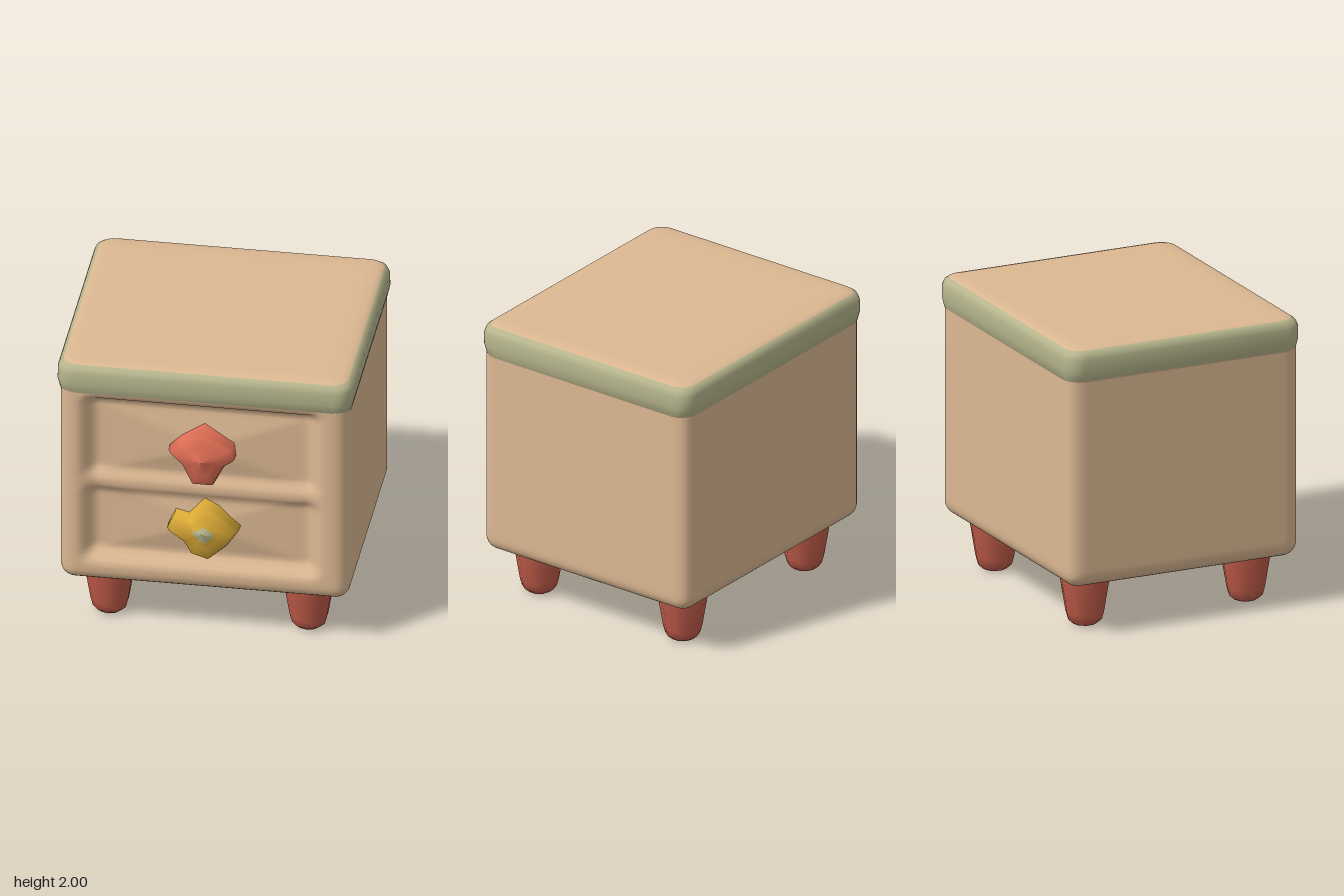
import * as THREE from 'three';
import { mergeVertices } from 'three/addons/utils/BufferGeometryUtils.js';

const mat = (name, color) => new THREE.MeshStandardMaterial({ name, color });
const { smoothstep, clamp } = THREE.MathUtils;

// Joins equal-length rings of [x, y, z], anticlockwise seen from the last ring.
// matOf(i) gives the material index of the band above ring i.
function loft(rings, matOf = () => 0) {
  const n = rings[0].length, index = [];
  const geo = new THREE.BufferGeometry();
  geo.setAttribute('position', new THREE.Float32BufferAttribute(rings.flat(2), 3));
  for (let i = 0; i < rings.length - 1; i++) {
    geo.addGroup(index.length, n * 6, matOf(i));
    for (let j = 0; j < n; j++) {
      const a = i * n + j, b = i * n + (j + 1) % n;
      index.push(a, b, b + n, a, b + n, a + n);
    }
  }
  geo.setIndex(index);
  geo.computeVertexNormals();
  return geo;
}

// Depth of the drawer recess at a point of the front face
function recessDepth(x, y) {
  const side = smoothstep(x, -0.84, -0.72) * (1 - smoothstep(x, 0.67, 0.81));
  const ends = smoothstep(y, 0.48, 0.59) * (1 - smoothstep(y, 1.69, 1.78));
  const rail = 1 - smoothstep(Math.abs(y - 1.1), 0.02, 0.1);
  // each drawer front swells towards its knob like a low pyramid
  const cy = y > 1.1 ? 1.42 : 0.83;
  const swell = Math.max(0, 1 - Math.max(Math.abs(x) / 0.7, Math.abs(y - cy) / 0.26));
  return side * ends * (0.085 - 0.045 * rail - 0.05 * swell);
}

// Rounded cabinet with the recess pressed into its front
function cabinetGeometry() {
  const half = new THREE.Vector3(0.967, 0.79, 0.85), r = 0.1;
  const centre = new THREE.Vector3(0, 1.13, -0.05);
  let geo = new THREE.BoxGeometry(half.x * 2, half.y * 2, half.z * 2, 64, 56, 40);
  geo.deleteAttribute('normal');
  geo.deleteAttribute('uv');
  geo = mergeVertices(geo);
  const pos = geo.attributes.position;
  const p = new THREE.Vector3(), inner = new THREE.Vector3();
  for (let i = 0; i < pos.count; i++) {
    p.fromBufferAttribute(pos, i);
    inner.set(...['x', 'y', 'z'].map(k => clamp(p[k], r - half[k], half[k] - r)));
    p.sub(inner).setLength(r).add(inner).add(centre);
    if (p.z > 0.78) p.z -= recessDepth(p.x, p.y);
    pos.setXYZ(i, p.x, p.y, p.z);
  }
  geo.computeVertexNormals();
  return geo;
}

// Rounded rectangle ring of the table top, drawn in from the full outline
function topRing([height, inset]) {
  const hw = 0.99 - inset, hd = 0.867 - inset;
  const r = Math.min(Math.max(0.12 - inset * 0.5, 0.03), hd), ring = [];
  for (let c = 0; c < 4; c++) {
    const sx = c === 0 || c === 3 ? 1 : -1, sy = c < 2 ? 1 : -1;
    for (let k = 0; k <= 5; k++) {
      const a = (c + k / 5) * Math.PI / 2;
      ring.push([sx * (hw - r) + r * Math.cos(a), 0.053 + sy * (hd - r) + r * Math.sin(a), height]);
    }
  }
  return ring;
}

// Faceted knob: an outline that narrows to a point in front
function knobGeometry(outline, cx, cy, matOf) {
  const steps = [[0.7, 1], [0.82, 1], [0.86, 0.92], [0.88, 0.55], [0.9, 0.3], [0.92, 0]];
  return loft(steps.map(([z, s]) =>
    outline.map(([x, y]) => [cx + (x - cx) * s, cy + (y - cy) * s, z])), matOf);
}

export function createModel() {
  const group = new THREE.Group();
  group.name = 'bedsideCabinet';
  const wood = mat('paleWood', 0xdcb892);
  const green = mat('sageGreen', 0xb6b58d);
  const red = mat('coralRed', 0xdf6e55);
  const legRed = mat('legRed', 0xbd5a48);
  const yellow = mat('mustardYellow', 0xdbaa36);

  const add = (name, geo, material) => {
    const mesh = new THREE.Mesh(geo, material);
    mesh.name = name;
    group.add(mesh);
    return mesh;
  };

  add('cabinet', cabinetGeometry(), wood);

  // Table top: green rim, wooden upper face
  const profile = [[1.74, 0.045], [1.78, 0.015], [1.85, 0], [1.93, 0.002], [1.965, 0.015],
    [1.985, 0.04], [1.995, 0.08], [2, 0.16], [2, 0.867]];
  const top = loft(profile.map(topRing), i => (i === 0 || i > 4 ? 1 : 0));
  top.rotateX(-Math.PI / 2);
  add('tableTop', top, [green, wood]);

  // Knobs
  const upper = [[0, 1.59], [-0.15, 1.5], [-0.23, 1.42], [-0.14, 1.33], [-0.07, 1.18],
    [0.07, 1.18], [0.15, 1.34], [0.21, 1.38], [0.2, 1.47]];
  const lower = [[0, 1.02], [-0.1, 0.91], [-0.19, 0.93], [-0.24, 0.82], [-0.13, 0.74],
    [-0.08, 0.65], [0.04, 0.61], [0.16, 0.72], [0.24, 0.84], [0.1, 0.97]];
  add('upperKnob', knobGeometry(upper, 0, 1.39), red);
  add('lowerKnob', knobGeometry(lower, 0.02, 0.835, i => (i > 3 ? 1 : 0)), [yellow, green]);

  // Tapered legs
  const legProfile = [[0, 0], [0.08, 0.005], [0.115, 0.035], [0.13, 0.09], [0.168, 0.32], [0.168, 0.42]]
    .map(([x, y]) => new THREE.Vector2(x, y));
  const legGeo = new THREE.LatheGeometry(legProfile, 10);
  for (const x of [-0.665, 0.665]) {
    for (const z of [0.54, -0.645]) {
      add(z > 0 ? 'frontLeg' : 'backLeg', legGeo, legRed).position.set(x, 0, z);
    }
  }
  return group;
}
